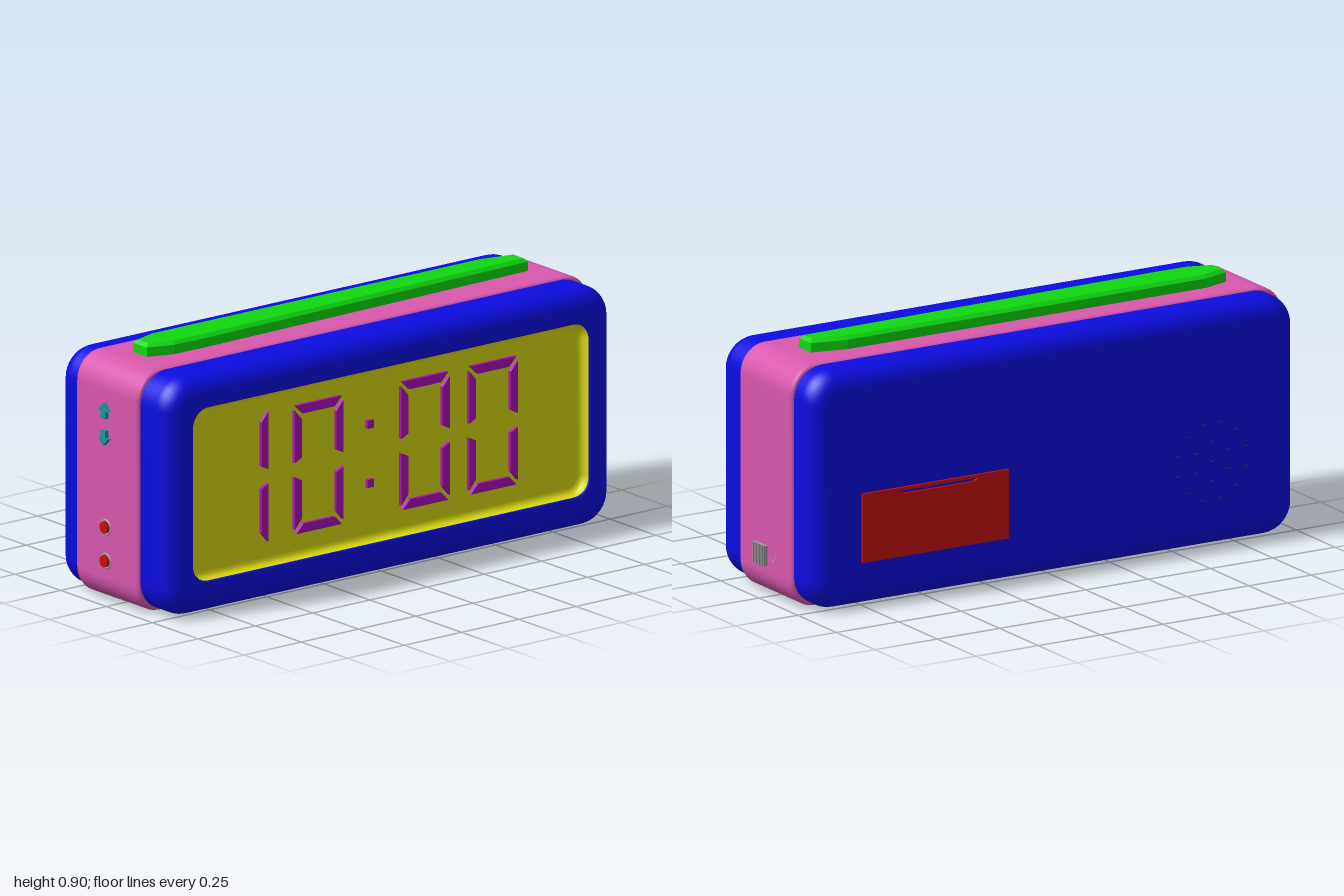
import * as THREE from 'three';

const mat = (color, side = THREE.FrontSide, flat = false) =>
  new THREE.MeshStandardMaterial({ color, side, flatShading: flat });
const BLUE = mat(0x0c0ce0), PINK = mat(0xd858ad), YELLOW = mat(0xd8d80f);
const GREEN = mat(0x10d810, THREE.FrontSide, true), PURPLE = mat(0xa80fb8);
const RED = mat(0xc80f0f), TEAL = mat(0x189898), GREY = mat(0xa0a0a0);
const HOLE = mat(0x05055a, THREE.DoubleSide);

function add(parent, name, geometry, material, x = 0, y = 0, z = 0) {
  const mesh = new THREE.Mesh(geometry, material);
  mesh.name = name;
  mesh.position.set(x, y, z);
  parent.add(mesh);
  return mesh;
}

// Rounded rectangle, counter-clockwise: half width w, y from y0 to y1
function outline(w, y0, y1, r, n = 8) {
  const pts = [];
  const centres = [[w - r, y1 - r], [r - w, y1 - r], [r - w, y0 + r], [w - r, y0 + r]];
  centres.forEach(([cx, cy], k) => {
    for (let i = 0; i <= n; i++) {
      const a = (k + i / n) * Math.PI / 2;
      pts.push(new THREE.Vector2(cx + r * Math.cos(a), cy + r * Math.sin(a)));
    }
  });
  return pts;
}

// Skin over rings { pts, z }, running back to front and then inwards
function loft(rings) {
  const n = rings[0].pts.length, pos = [], idx = [];
  rings.forEach(({ pts, z }) => pts.forEach(p => pos.push(p.x, p.y, z)));
  for (let i = 0; i < rings.length - 1; i++) {
    for (let j = 0; j < n; j++) {
      const k = (j + 1) % n;
      const a = i * n + j, b = i * n + k, c = a + n, d = b + n;
      idx.push(a, b, d, a, d, c);
    }
  }
  const g = new THREE.BufferGeometry();
  g.setAttribute('position', new THREE.Float32BufferAttribute(pos, 3));
  g.setIndex(idx);
  g.computeVertexNormals();
  return g;
}

const plate = (points, depth) => new THREE.ExtrudeGeometry(
  new THREE.Shape(points.map(p => new THREE.Vector2(p[0], p[1]))), { depth, bevelEnabled: false });

function speakerHoles() {
  const list = [[-0.63, 0.315]];
  [[0.07, 6], [0.14, 12]].forEach(([r, n]) => {
    for (let i = 0; i < n; i++) {
      const a = (i + 0.5) / n * Math.PI * 2;
      list.push([-0.63 + r * Math.cos(a), 0.315 + r * Math.sin(a)]);
    }
  });
  return list;
}

function buildCase(root) {
  const group = new THREE.Group();
  group.name = 'case';
  root.add(group);
  const back = -0.3, front = 0.307, R = 0.07;
  const bodyRing = (inset, z) => ({ pts: outline(0.975 - inset, 0.007 + inset, 0.853 - inset, 0.11 - inset), z });
  const rings = [];
  for (let i = 0; i <= 8; i++) {
    const a = i / 8 * Math.PI / 2;
    rings.push(bodyRing(R * (1 - Math.sin(a)), back + R * (1 - Math.cos(a))));
  }
  for (let i = 0; i <= 8; i++) {
    const a = i / 8 * Math.PI / 2;
    rings.push(bodyRing(R * (1 - Math.cos(a)), front - R * (1 - Math.sin(a))));
  }
  // front rim turning into the screen opening
  const openRing = (inset, z) => ({ pts: outline(0.865 - inset, 0.125 + inset, 0.74 - inset, 0.065 - inset), z });
  rings.push(openRing(-0.006, front), openRing(-0.002, front - 0.002), openRing(0, front - 0.006));
  add(group, 'shell', loft(rings), BLUE);

  // back panel pierced by the speaker holes
  const panel = new THREE.Shape(rings[0].pts);
  const holes = speakerHoles();
  holes.forEach(([x, y]) => panel.holes.push(new THREE.Path().absarc(-x, y, 0.007, 0, Math.PI * 2, true)));
  add(group, 'backPanel', new THREE.ShapeGeometry(panel, 4).rotateY(Math.PI), BLUE, 0, 0, back);
  holes.forEach(([x, y]) => {
    const g = new THREE.CylinderGeometry(0.007, 0.007, 0.02, 8, 1, true).rotateX(Math.PI / 2);
    add(group, 'speakerHole', g, HOLE, x, y, back + 0.01);
  });
  add(group, 'speakerBacking', new THREE.CircleGeometry(0.16, 24).rotateY(Math.PI), HOLE, -0.63, 0.315, back + 0.02);

  // raised band around the middle
  const bandRing = (inset, z) => ({ pts: outline(0.986 - inset, inset, 0.86 - inset, 0.1 - inset), z });
  add(group, 'middleBand', loft([
    bandRing(0.03, -0.186), bandRing(0.012, -0.186), bandRing(0.004, -0.182), bandRing(0, -0.17),
    bandRing(0, 0.138), bandRing(0.004, 0.15), bandRing(0.012, 0.154), bandRing(0.03, 0.154),
  ]), PINK);

  // recessed screen tray
  const tray = [openRing(0, front - 0.006), openRing(0, 0.288)];
  for (let i = 1; i <= 4; i++) {
    const a = i / 4 * Math.PI / 2;
    tray.push(openRing(0.022 * (1 - Math.cos(a)), 0.288 - 0.022 * Math.sin(a)));
  }
  add(group, 'screenEdge', loft(tray), YELLOW);
  add(group, 'screen', new THREE.ShapeGeometry(new THREE.Shape(tray.at(-1).pts)), YELLOW, 0, 0, 0.266);
}

function buildDisplay(root) {
  const group = new THREE.Group();
  group.name = 'display';
  group.position.z = 0.265;
  root.add(group);
  const t = 0.03, mid = 0.4375;
  const segment = pts => add(group, 'segment', plate(pts, 0.014), PURPLE);
  // upright bar, s = 1 has its long edge on the left; both halves mirror about mid
  const upright = (x, s, top) => [1, -1].forEach(m => {
    const pts = [[x, mid + m * 0.025], [x + s * t, mid + m * 0.04],
      [x + s * t, mid + m * (top - 0.035)], [x, mid + m * top]];
    segment(pts);
  });
  const zero = x => {
    upright(x, 1, 0.212);
    upright(x + 0.212, -1, 0.212);
    [1, -1].forEach(m => segment([
      [x + 0.006, mid + m * 0.228], [x + 0.206, mid + m * 0.228],
      [x + 0.174, mid + m * 0.196], [x + 0.038, mid + m * 0.196]]));
  };
  upright(-0.515, -1, 0.232);
  [-0.4, 0.065, 0.362].forEach(zero);
  [0.33, 0.54].forEach(y => add(group, 'colonDot', new THREE.BoxGeometry(0.028, 0.028, 0.014), PURPLE, -0.068, y, 0.007));
}

function buildTopBar(root) {
  const pts = [[-0.835, -0.015], [-0.74, -0.046], [-0.6, -0.048], [0.83, -0.016],
    [0.83, 0.06], [0.7, 0.09], [-0.74, 0.09], [-0.835, 0.06]];
  const shape = new THREE.Shape(pts.map(p => new THREE.Vector2(p[0], p[1])));
  const g = new THREE.ExtrudeGeometry(shape, {
    depth: 0.045, bevelEnabled: true, bevelThickness: 0.012, bevelSize: 0.012, bevelOffset: -0.012, bevelSegments: 1,
  }).rotateX(-Math.PI / 2);
  add(root, 'snoozeBar', g, GREEN, 0, 0.848, 0);
}

function buildBatteryDoor(root) {
  const shape = new THREE.Shape([[0.19, 0.165], [0.775, 0.165], [0.775, 0.41], [0.19, 0.41]]
    .map(p => new THREE.Vector2(...p)));
  shape.holes.push(new THREE.Path([[0.31, 0.398], [0.63, 0.398], [0.61, 0.388], [0.33, 0.388]]
    .map(p => new THREE.Vector2(...p))));
  add(root, 'batteryDoor', new THREE.ExtrudeGeometry(shape, { depth: 0.02, bevelEnabled: false }), RED, 0, 0, -0.309);
}

function buildSideControls(root) {
  // ribbed slide switch on the left side
  const group = new THREE.Group();
  group.name = 'slideSwitch';
  root.add(group);
  add(group, 'switchBase', new THREE.BoxGeometry(0.03, 0.072, 0.075), GREY, 0.98, 0.155, 0.007);
  for (let i = 0; i < 8; i++) {
    add(group, 'switchRib', new THREE.BoxGeometry(0.01, 0.072, 0.005), GREY, 0.995, 0.155, -0.027 + i * 0.0098);
  }
  // power mark: open ring and stroke
  const ring = new THREE.TorusGeometry(0.012, 0.0018, 6, 24, Math.PI * 1.65).rotateZ(Math.PI * 0.675).rotateY(Math.PI / 2);
  add(root, 'powerRing', ring, GREY, 0.986, 0.155, -0.073);
  add(root, 'powerStroke', new THREE.BoxGeometry(0.004, 0.016, 0.003), GREY, 0.986, 0.166, -0.073);

  // push buttons on the right side
  const z = -0.02;
  [0.275, 0.155].forEach(y => {
    add(root, 'buttonRing', new THREE.TorusGeometry(0.025, 0.004, 8, 24).rotateY(Math.PI / 2), GREY, -0.986, y, z);
    add(root, 'roundButton', new THREE.CylinderGeometry(0.021, 0.021, 0.03, 24).rotateZ(Math.PI / 2), RED, -0.983, y, z);
  });
  const arrow = [[-0.013, -0.026], [0.013, -0.026], [0.013, 0], [0.028, 0], [0, 0.028], [-0.028, 0], [-0.013, 0]];
  [[0.69, 1], [0.595, -1]].forEach(([y, s]) => {
    const g = plate(arrow.map(p => [p[0], p[1] * s]), 0.03).rotateY(-Math.PI / 2);
    add(root, 'arrowButton', g, TEAL, -0.97, y, z);
  });
}

export function createModel() {
  const root = new THREE.Group();
  root.name = 'digitalAlarmClock';
  [buildCase, buildDisplay, buildTopBar, buildBatteryDoor, buildSideControls].forEach(build => build(root));
  return root;
}
